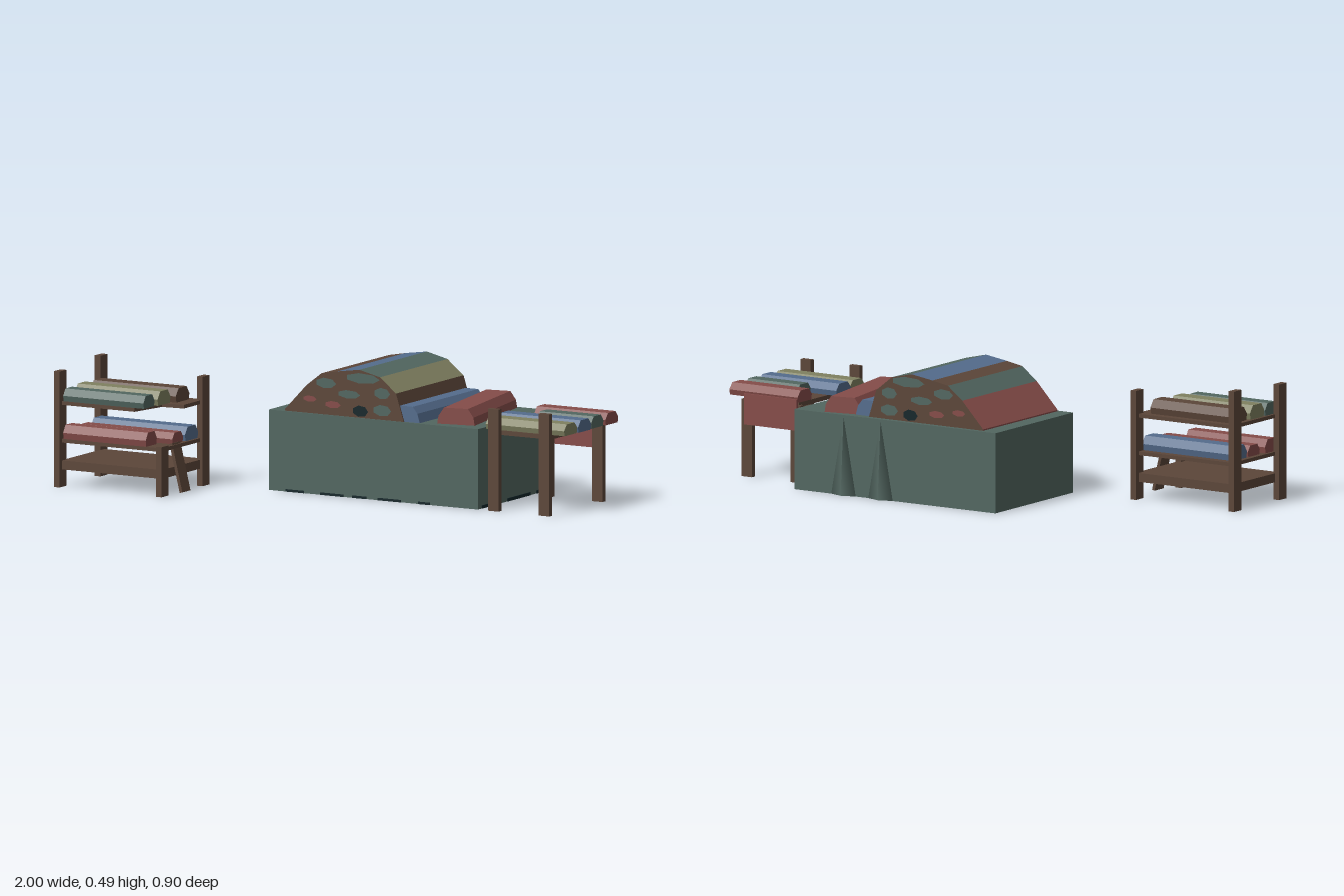
import * as THREE from 'three';

const mat = (name, color, double = false) => {
  const m = new THREE.MeshStandardMaterial({ color });
  m.name = name;
  if (double) m.side = THREE.DoubleSide;
  return m;
};

export function createModel() {
  const teal = mat('teal cloth', 0x526660, true);
  const red = mat('red cloth', 0x854c49);
  const blue = mat('blue cloth', 0x546c8c);
  const olive = mat('olive cloth', 0x7f8060);
  const brown = mat('brown wood', 0x5c4639);
  const dark = mat('dark gap', 0x14262a);

  const root = new THREE.Group();
  root.name = 'clothStall';
  const group = (name) => {
    const g = new THREE.Group();
    g.name = name;
    root.add(g);
    return g;
  };
  const add = (parent, name, geo, material) => {
    const m = new THREE.Mesh(geo, material);
    m.name = name;
    parent.add(m);
    return m;
  };
  // box given by its min and max on each axis
  const box = (parent, name, x0, x1, y0, y1, z0, z1, material = brown) => {
    const m = add(parent, name, new THREE.BoxGeometry(x1 - x0, y1 - y0, z1 - z0), material);
    m.position.set((x0 + x1) / 2, (y0 + y1) / 2, (z0 + z1) / 2);
    return m;
  };
  const prism = (points, depth) => new THREE.ExtrudeGeometry(
    new THREE.Shape(points.map(([x, y]) => new THREE.Vector2(x, y))), { depth, bevelEnabled: false });
  // folded bolt of cloth lying along x
  const bolt = (parent, x0, x1, y, h, z0, z1, material) => {
    const w = z1 - z0;
    const pts = [[-0.45, 0], [0.45, 0], [0.5, 0.45], [0.29, 1], [-0.29, 1], [-0.5, 0.45]];
    const geo = prism(pts.map(([a, b]) => [a * w, b * h]), x1 - x0);
    geo.rotateY(Math.PI / 2);
    const m = add(parent, 'clothBolt', geo, material);
    m.position.set(x0, y, (z0 + z1) / 2);
    return m;
  };

  // Counter: open-bottomed cloth cover
  const counter = group('counter');
  counter.position.set(0.178, 0, -0.17);
  counter.rotation.y = 0.008;
  const W = 0.907, H = 0.305, D = 0.523;
  for (const s of [1, -1]) {
    const end = add(counter, 'coverLongSide', new THREE.PlaneGeometry(W, H), teal);
    end.position.set(0, H / 2, s * D / 2);
    if (s < 0) end.rotation.y = Math.PI;
    const side = add(counter, 'coverShortSide', new THREE.PlaneGeometry(D, H), teal);
    side.position.set(s * W / 2, H / 2, 0);
    side.rotation.y = s * Math.PI / 2;
  }
  const top = add(counter, 'coverTop', new THREE.PlaneGeometry(W, D), teal);
  top.rotation.x = -Math.PI / 2;
  top.position.y = H;
  // cloth folds on the back
  for (const x of [0.065, 0.232]) {
    const fold = add(counter, 'coverFold', new THREE.ConeGeometry(0.055, 0.3, 4, 1, true), teal);
    fold.scale.z = 0.34;
    fold.position.set(x, 0.15, -D / 2);
  }
  // worn gaps along the hem
  for (const [x, w] of [[-0.34, 0.08], [-0.18, 0.1], [-0.06, 0.06], [0.07, 0.1], [0.22, 0.05]])
    box(counter, 'hemGap', x - w / 2, x + w / 2, 0, 0.009, D / 2, D / 2 + 0.003, dark);
  for (const [z, w] of [[0.17, 0.13], [-0.04, 0.17], [-0.2, 0.06]])
    box(counter, 'hemGap', W / 2, W / 2 + 0.003, 0, 0.012, z - w / 2, z + w / 2, dark);

  // Mound of cloth: one faceted strip per colour, with brown ends
  const mound = group('clothMound');
  const profile = [[-0.21, 0.31], [-0.115, 0.41], [-0.05, 0.46], [0.02, 0.473], [0.115, 0.487],
    [0.205, 0.466], [0.275, 0.41], [0.308, 0.306]];
  const stripes = [red, teal, brown, blue, teal, olive, brown];
  stripes.forEach((m, i) => {
    const [a, b] = [profile[i], profile[i + 1]];
    const strip = add(mound, 'moundStrip',
      prism([[a[0], 0.305], [b[0], 0.305], b, a], 0.495), [brown, m]);
    strip.position.z = -0.41;
  });
  // mottled patches on both ends
  const patches = [[0.13, 0.455, 0.075, 0.02, teal], [-0.03, 0.425, 0.045, 0.02, teal],
    [0.07, 0.39, 0.05, 0.016, teal], [0.215, 0.405, 0.035, 0.022, teal],
    [-0.1, 0.36, 0.03, 0.012, red], [0.0, 0.345, 0.035, 0.014, red],
    [0.12, 0.33, 0.034, 0.022, dark], [0.215, 0.34, 0.04, 0.022, teal]];
  for (const [x, y, rx, ry, m] of patches) {
    for (const s of [1, -1]) {
      const p = add(mound, 'moundPatch', new THREE.CircleGeometry(1, 7), m);
      p.scale.set(rx, ry, 1);
      p.position.set(x, y, s > 0 ? 0.087 : -0.412);
      if (s < 0) p.rotation.y = Math.PI;
    }
  }
  // loose bolts beside the mound
  const blueBolt = add(mound, 'blueBolt',
    prism([[0.28, 0.305], [0.375, 0.305], [0.365, 0.34], [0.345, 0.365], [0.29, 0.365]], 0.48), blue);
  blueBolt.position.z = -0.4;
  const redBolt = add(mound, 'tiltedBolt',
    prism([[-0.075, 0], [0.075, 0], [0.07, 0.03], [0.048, 0.062], [-0.048, 0.062], [-0.07, 0.03]], 0.45), red);
  redBolt.position.set(0.43, 0.305, -0.405);
  redBolt.rotation.y = 0.175;

  // Broken shelf rack
  const rack = group('shelfRack');
  box(rack, 'backLeftPost', -1, -0.975, 0, 0.458, 0.1, 0.15);
  box(rack, 'frontLeftPost', -1, -0.975, 0, 0.44, 0.4, 0.45);
  box(rack, 'backRightPost', -0.555, -0.53, 0, 0.415, 0.1, 0.15);
  box(rack, 'brokenPost', -0.555, -0.53, 0, 0.19, 0.4, 0.45);
  box(rack, 'lowerShelf', -0.98, -0.54, 0.066, 0.1, 0.12, 0.43);
  box(rack, 'middleShelf', -0.98, -0.54, 0.168, 0.182, 0.12, 0.43);
  // upper shelf with its front right corner broken off
  const upper = add(rack, 'upperShelf',
    prism([[-0.98, -0.43], [-0.66, -0.43], [-0.63, -0.28], [-0.54, -0.27], [-0.54, -0.12], [-0.98, -0.12]], 0.014), brown);
  upper.rotation.x = -Math.PI / 2;
  upper.position.y = 0.311;
  // plank leaning on the open corner
  const plank = box(rack, 'leaningPlank', -0.536, -0.524, 0.002, 0.19, 0.285, 0.345);
  plank.rotation.z = 0.24;
  bolt(rack, -0.97, -0.62, 0.325, 0.047, 0.35, 0.432, teal);
  bolt(rack, -0.97, -0.61, 0.325, 0.053, 0.25, 0.345, olive);
  bolt(rack, -0.96, -0.59, 0.325, 0.053, 0.145, 0.245, brown);
  bolt(rack, -0.97, -0.61, 0.182, 0.052, 0.35, 0.432, red);
  bolt(rack, -0.96, -0.555, 0.182, 0.042, 0.25, 0.33, red);
  bolt(rack, -0.96, -0.55, 0.182, 0.053, 0.148, 0.245, blue);

  // Side table
  const table = group('sideTable');
  for (const x of [0.678, 0.9]) {
    box(table, 'frontLeg', x, x + 0.046, 0, 0.387, 0.068, 0.09);
    box(table, 'backLeg', x, x + 0.046, 0, 0.295, -0.322, -0.3);
  }
  box(table, 'tableTop', 0.69, 0.94, 0.288, 0.305, -0.315, 0.068);
  bolt(table, 0.655, 0.997, 0.305, 0.043, -0.03, 0.067, olive);
  bolt(table, 0.65, 1, 0.305, 0.045, -0.127, -0.03, blue);
  bolt(table, 0.76, 0.995, 0.305, 0.045, -0.225, -0.135, teal);
  bolt(table, 0.69, 1, 0.305, 0.045, -0.325, -0.23, red);
  box(table, 'hangingCloth', 0.69, 0.93, 0.2, 0.318, -0.331, -0.322, red);

  return root;
}
